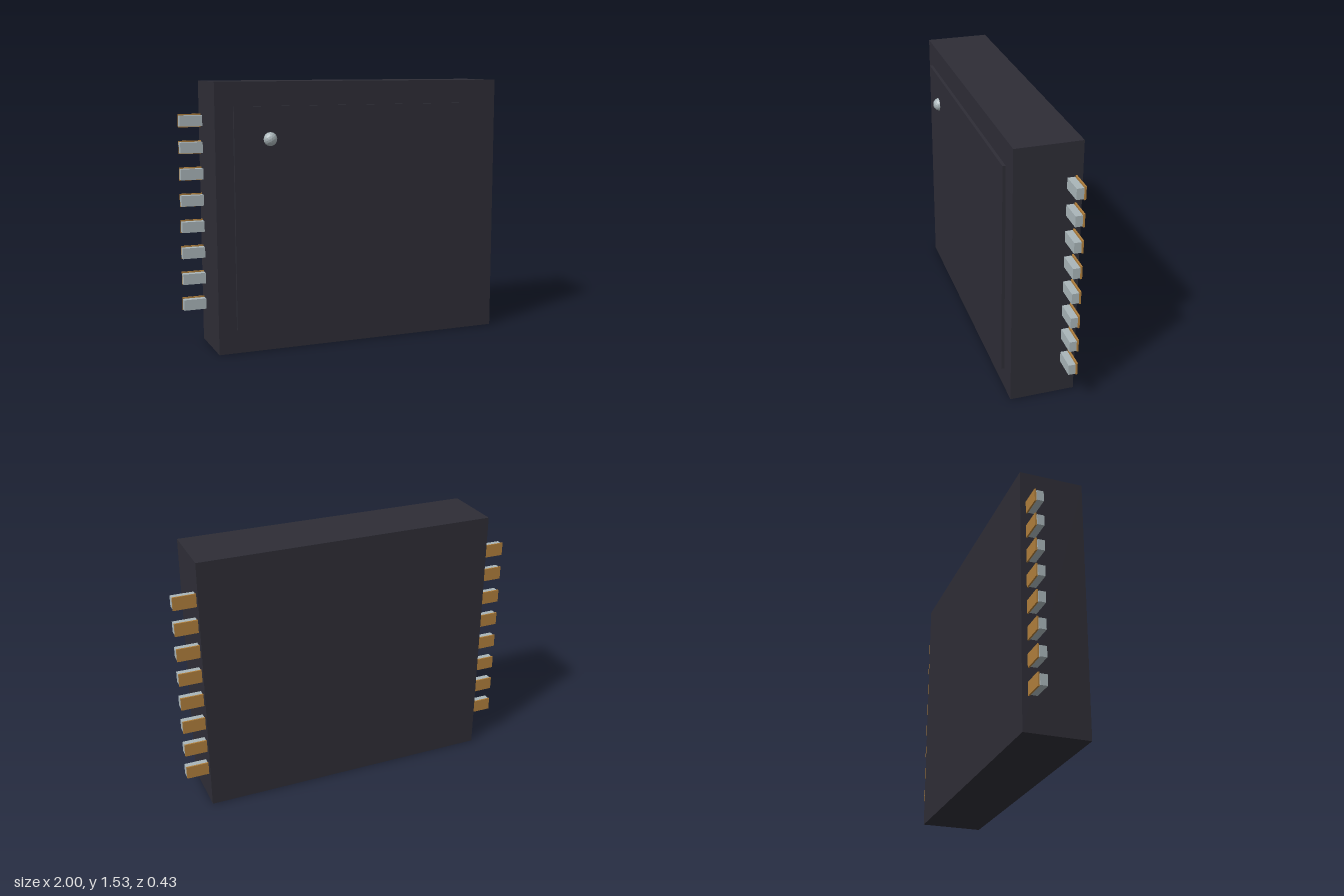
import * as THREE from 'three';

export function createModel() {
  const model = new THREE.Group();
  const mat = (name, color) => Object.assign(new THREE.MeshStandardMaterial({ color, flatShading: true }), { name });
  const casing = mat('dark casing', 0x2e2d36);
  const silver = mat('silver', 0xa9b5b9);
  const gold = mat('gold', 0xb07f3c);

  // Box given by its extents on each axis
  const box = (name, material, [x0, x1], [y0, y1], [z0, z1]) => {
    const mesh = new THREE.Mesh(new THREE.BoxGeometry(x1 - x0, y1 - y0, z1 - z0), material);
    mesh.position.set((x0 + x1) / 2, (y0 + y1) / 2, (z0 + z1) / 2);
    mesh.name = name;
    model.add(mesh);
    return mesh;
  };

  // Package body and raised front lid, with a hairline gap between
  box('body', casing, [-0.87, 0.87], [0, 1.527], [-0.212, 0.158]);
  box('lid', casing, [-0.768, 0.768], [0.14, 1.392], [0.163, 0.18]);

  // Orientation marker
  const marker = new THREE.Mesh(new THREE.IcosahedronGeometry(0.04, 2), silver);
  marker.name = 'marker';
  marker.position.set(-0.562, 1.21, 0.174);
  model.add(marker);

  // Eight pins per side, each with a gold contact pad behind
  for (const side of [-1, 1]) {
    const xs = side > 0 ? [0.85, 1] : [-1, -0.85];
    for (let i = 0; i < 8; i++) {
      const y = 0.232 + i * 0.1528;
      box('pin', silver, xs, [y - 0.031, y + 0.031], [-0.168, -0.128]);
      box('contactPad', gold, xs, [y - 0.038, y + 0.038], [-0.18, -0.171]);
    }
  }
  return model;
}
